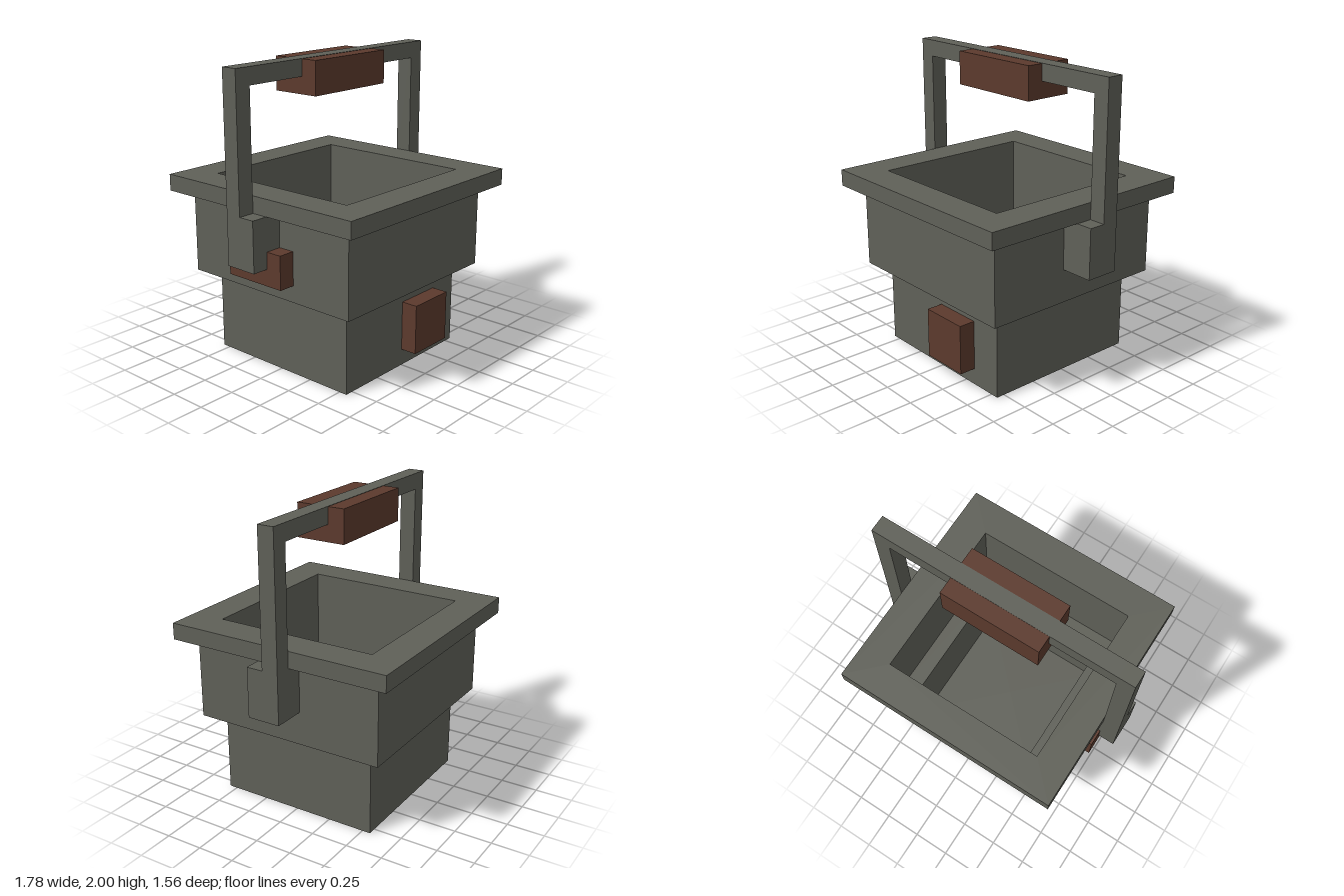
import * as THREE from 'three';

const U = 1 / 9; // the whole model sits on a 1/9 grid

export function createModel() {
  const model = new THREE.Group();
  model.name = 'bucket';

  const stone = new THREE.MeshStandardMaterial({ color: 0x5f6058 });
  stone.name = 'grey stone';
  const wood = new THREE.MeshStandardMaterial({ color: 0x5c3a2d });
  wood.name = 'brown wood';

  // Box given by its min and max corners in grid units
  function box(name, material, min, max) {
    const size = max.map((v, i) => (v - min[i]) * U);
    const mesh = new THREE.Mesh(new THREE.BoxGeometry(...size), material);
    mesh.position.set(...max.map((v, i) => ((v + min[i]) / 2) * U));
    mesh.name = name;
    model.add(mesh);
    return mesh;
  }

  // Hollow stepped body: a square lathe of [half width, height], up the outside and down the inside
  const profile = [
    [0, 0], [5, 0], [5, 5], [6, 5], [6, 10], [7, 10], [7, 11],
    [5, 11], [5, 6], [4, 6], [4, 1], [0, 1],
  ].map(([r, y]) => new THREE.Vector2(r * U * Math.SQRT2, y * U));
  const bodyGeometry = new THREE.LatheGeometry(profile, 4, Math.PI / 4).toNonIndexed();
  bodyGeometry.computeVertexNormals();
  const body = new THREE.Mesh(bodyGeometry, stone);
  body.name = 'body';
  model.add(body);

  // Handle: a lug and an upright arm on each side, joined by a bar
  for (const [side, s] of [['left', 1], ['right', -1]]) {
    const span = (a, b) => (s > 0 ? [a, b] : [-b, -a]);
    const [l0, l1] = span(6, 8);
    const [a0, a1] = span(7, 8);
    box(side + 'Lug', stone, [l0, 7, -1], [l1, 10, 1]);
    box(side + 'Arm', stone, [a0, 10, -1], [a1, 18, 0]);
  }
  box('handleBar', stone, [-7, 17, -1], [7, 18, 0]);

  // Grip around the bar, a hair lower so the bar shows on top
  box('grip', wood, [-3, 16, -2], [3, 17.98, 1]);

  // Patches on the front and on the right side
  box('frontPatch', wood, [0, 1, 5], [3, 4, 6]);
  box('sidePatch', wood, [-7, 6, -2], [-6, 8, 2]);

  return model;
}
